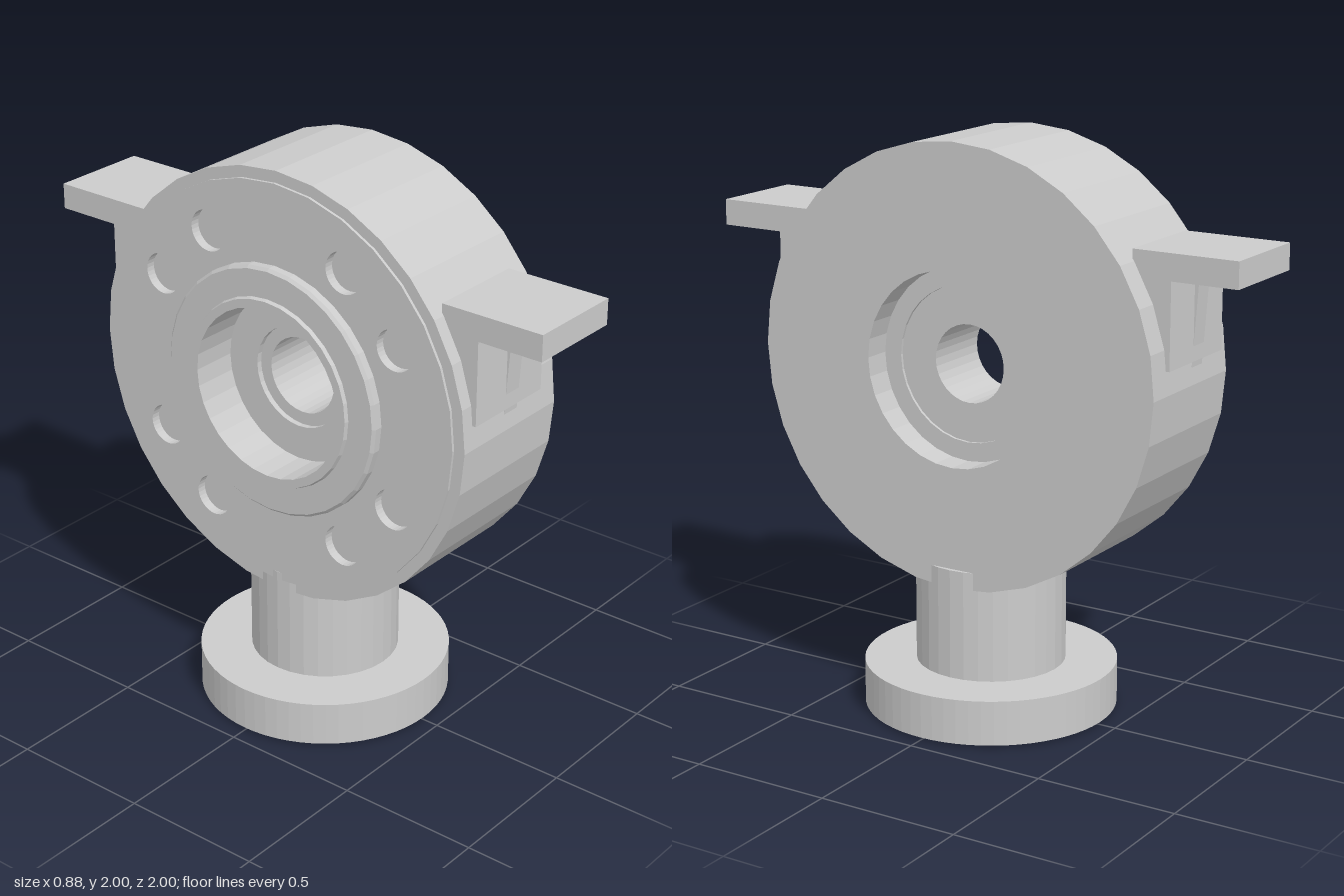
import * as THREE from 'three';

const grey = new THREE.MeshStandardMaterial({ color: 0xcccccc, flatShading: true });

function add(parent, name, geometry, x = 0, y = 0, z = 0) {
  const mesh = new THREE.Mesh(geometry, grey);
  mesh.name = name;
  mesh.position.set(x, y, z);
  parent.add(mesh);
  return mesh;
}

// closed profile of [radius, height], turned about y
const turn = (profile, segments) =>
  new THREE.LatheGeometry(profile.map(([r, h]) => new THREE.Vector2(r, h)), segments);

// annular face plate with four pairs of round pockets
function pocketPlate() {
  const shape = new THREE.Shape().absarc(0, 0, 0.72, 0, Math.PI * 2);
  shape.holes.push(new THREE.Path().absarc(0, 0, 0.44, 0, Math.PI * 2, true));
  for (const degrees of [30, 60, 120, 150, 210, 240, 300, 330]) {
    const a = THREE.MathUtils.degToRad(degrees);
    shape.holes.push(new THREE.Path().absarc(
      0.565 * Math.cos(a), 0.565 * Math.sin(a), 0.072, 0, Math.PI * 2, true));
  }
  return new THREE.ExtrudeGeometry(shape, { depth: 0.033, bevelEnabled: false, curveSegments: 16 });
}

export function createModel() {
  const model = new THREE.Group();
  model.name = 'flangedBody';
  const axisY = 1.24;

  // main disc: stepped raised face and deep bore on one side, recess on the other
  const disc = add(model, 'disc', turn([
    [0.135, -0.12], [0.18, -0.12], [0.18, -0.14], [0.30, -0.14],
    [0.30, -0.308], [0.33, -0.308], [0.335, -0.295], [0.43, -0.295], [0.44, -0.285],
    [0.44, -0.225], [0.72, -0.225], [0.72, -0.248], [0.76, -0.248],
    [0.76, 0.245], [0.335, 0.245], [0.335, 0.145], [0.27, 0.145], [0.27, 0.135],
    [0.135, 0.135], [0.135, -0.12],
  ], 32), 0, axisY);
  disc.rotation.z = -Math.PI / 2;

  const plate = add(model, 'pocketPlate', pocketPlate(), -0.225, axisY);
  plate.rotation.y = -Math.PI / 2;

  // stem and foot flange with a bore through both
  add(model, 'stem', turn([
    [0.26, 0.16], [0.26, 0.55], [0.115, 0.55], [0.115, 0.16],
  ], 32));
  add(model, 'footFlange', turn([
    [0.115, 0], [0.27, 0], [0.27, 0.008], [0.44, 0.008],
    [0.44, 0.165], [0.115, 0.165], [0.115, 0],
  ], 64));

  // angle brackets on the front and back of the rim
  for (const [name, side] of [['frontBracket', 1], ['backBracket', -1]]) {
    const bracket = new THREE.Group();
    bracket.name = name;
    add(bracket, 'shelf', new THREE.BoxGeometry(0.355, 0.09, 0.375), -0.0225, 1.657, 0.8125);
    add(bracket, 'backPlate', new THREE.BoxGeometry(0.355, 0.3, 0.135), -0.0225, 1.47, 0.6975);
    // slim tapered rib under the shelf
    const rib = new THREE.Shape([[-0.76, 1.3], [-0.76, 1.615], [-0.782, 1.615]]
      .map(([a, b]) => new THREE.Vector2(a, b)));
    add(bracket, 'rib', new THREE.ExtrudeGeometry(rib, { depth: 0.07, bevelEnabled: false }),
      -0.04).rotation.y = Math.PI / 2;
    if (side < 0) {
      // mirror in z: turn round, then shift to keep the same x span
      bracket.rotation.y = Math.PI;
      bracket.position.x = -0.045;
    }
    model.add(bracket);
  }
  return model;
}
